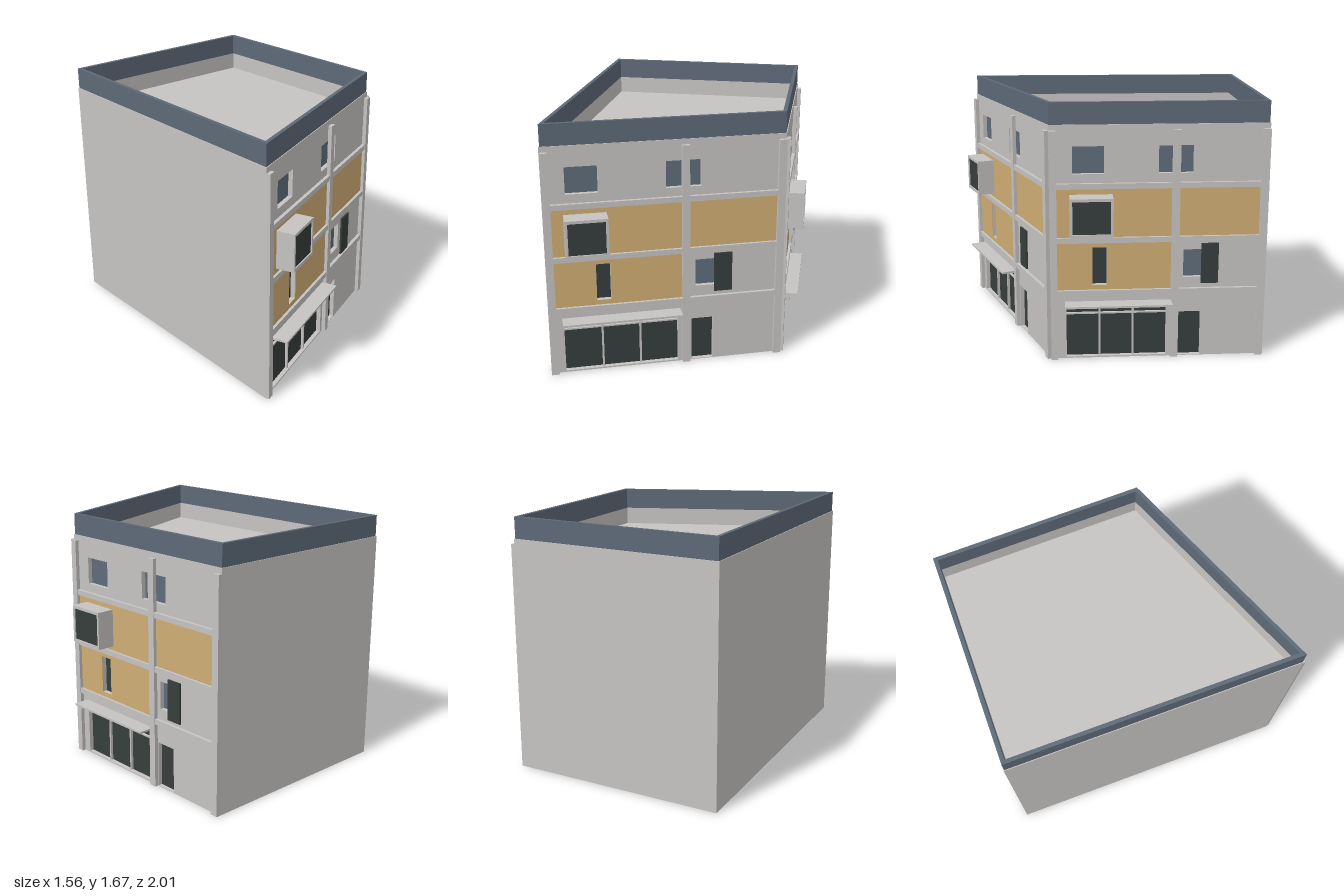
import * as THREE from 'three';

const T = 0.03;        // wall thickness
const TOP = 1.535;     // wall height
const PARAPET = 0.138;
const V = (x, z) => new THREE.Vector2(x, z);
// plan corners (x, z): front left, front right, back right, back left
const PLAN = [V(-0.78, 0.94), V(0.66, 0.41), V(0.66, -0.97), V(-0.745, -1.0)];

const mat = (name, color) => {
  const m = new THREE.MeshStandardMaterial({ color, side: THREE.DoubleSide });
  m.name = name;
  return m;
};

// plan outline moved inwards by d
function inset(d) {
  return PLAN.map((p, i) => {
    const a = p.clone().sub(PLAN[(i + 3) % 4]).normalize();
    const b = PLAN[(i + 1) % 4].clone().sub(p).normalize();
    const na = V(a.y, -a.x), nb = V(b.y, -b.x);
    const k = d / (1 + na.dot(nb));
    return p.clone().add(na.add(nb).multiplyScalar(k));
  });
}
const toShape = (pts) => new THREE.Shape(pts.map((p) => V(p.x, -p.y)));

const rectPoints = ([a, b, c, d]) => [V(a, c), V(b, c), V(b, d), V(a, d)];

// plate [x0, x1, y0, y1] with rectangular holes, from z0 to z1
function plate(rect, holes, z0, z1) {
  const s = new THREE.Shape(rectPoints(rect));
  holes.forEach((h) => s.holes.push(new THREE.Path(rectPoints(h).reverse())));
  const g = new THREE.ExtrudeGeometry(s, { depth: z1 - z0, bevelEnabled: false });
  return g.translate(0, 0, z0);
}

export function createModel() {
  const model = new THREE.Group();
  model.name = 'cornerBuilding';
  const grey = mat('concrete', 0xc6c4c2);
  const ochre = mat('ochrePanel', 0xd0ad74);
  const slate = mat('slateParapet', 0x5d6977);
  const blue = mat('blueGlass', 0x5f6c7a);
  const dark = mat('darkGlass', 0x363e3c);

  const add = (parent, name, geo, material) => {
    const m = new THREE.Mesh(geo, material);
    m.name = name;
    parent.add(m);
    return m;
  };
  const box = (parent, name, [a, b, c, d], z0, z1, material) => {
    const g = new THREE.BoxGeometry(b - a, d - c, z1 - z0);
    g.translate((a + b) / 2, (c + d) / 2, (z0 + z1) / 2);
    return add(parent, name, g, material);
  };

  // wall i in its own frame: x along the wall, z outwards, corners mitred
  const inner = inset(T);
  function wall(i, name, holes) {
    const p = PLAN[i], q = PLAN[(i + 1) % 4];
    const t = q.clone().sub(p), len = t.length();
    t.normalize();
    const group = new THREE.Group();
    group.name = name;
    group.position.set(p.x, 0, p.y);
    group.rotation.y = Math.atan2(-t.y, t.x);
    const g = plate([0, len, 0, TOP], holes, -T, 0);
    const x0 = inner[i].clone().sub(p).dot(t);
    const x1 = inner[(i + 1) % 4].clone().sub(p).dot(t);
    const pos = g.attributes.position;
    for (let k = 0; k < pos.count; k++) {
      if (pos.getZ(k) > -T / 2) continue;
      if (pos.getX(k) < 1e-4) pos.setX(k, x0);
      else if (pos.getX(k) > len - 1e-4) pos.setX(k, x1);
    }
    g.computeVertexNormals();
    add(group, name + 'Surface', g, grey);
    model.add(group);
    return group;
  }

  // street wall with pilasters, bands, panels, shopfront and windows
  function facade(i, name, f) {
    const shop = [...f.shop, 0.01, 0.37];
    const door = [...f.door, 0.004, 0.305];
    const slit = [...f.slit, 0.5, 0.75];
    const side = [...f.side, 0.54, 0.725];
    const tops = f.tops.map((w) => [...w, 1.225, 1.4]);
    const g = wall(i, name, [shop, door, slit, side, ...tops]);

    // recessed glass
    const glass = (label, r, m) => box(g, label, r, -T - 0.004, -T + 0.001, m);
    glass('shopGlass', shop, dark);
    glass('door', door, dark);
    glass('slitWindow', slit, dark);
    glass('sideWindow', side, blue);
    tops.forEach((r) => glass('topWindow', r, blue));

    // shopfront bars
    const [a, b] = f.shop;
    for (const k of [1, 2]) {
      const x = a + ((b - a) * k) / 3;
      box(g, 'shopMullion', [x - 0.006, x + 0.006, 0.01, 0.37], -T, -0.012, grey);
    }
    box(g, 'shopTransom', [a, b, 0.297, 0.307], -T, -0.014, grey);

    // pilasters and the floor bands between them
    f.pilasters.forEach((p) => box(g, 'pilaster', [...p, 0, 1.5], 0, 0.025, grey));
    for (let k = 0; k < 2; k++) {
      const span = [f.pilasters[k][1], f.pilasters[k + 1][0]];
      for (const y of [0.434, 0.783, 1.133]) {
        box(g, 'floorBand', [...span, y, y + 0.035], 0, 0.022, grey);
      }
      add(g, 'upperPanel', plate([...span, 0.818, 1.133], [], 0, 0.004), ochre);
      if (k === 0) add(g, 'lowerPanel', plate([...span, 0.469, 0.783], [slit], 0, 0.004), ochre);
    }

    // canopy, sliding shutter and box window
    box(g, 'canopy', [...f.canopy, 0.377, 0.39], 0, 0.105, grey);
    box(g, 'slidingShutter', [...f.shutter, 0.51, 0.775], 0.028, 0.04, dark);
    const [c, d] = f.bay;
    const pane = [c + 0.016, d - 0.016, 0.867, 1.077];
    add(g, 'boxWindowFrame', plate([c, d, 0.848, 1.096], [pane], 0, 0.122), grey);
    box(g, 'boxWindowGlass', pane, 0.108, 0.114, dark);
  }

  facade(0, 'frontWall', {
    shop: [0.096, 0.836], door: [0.925, 1.07], slit: [0.314, 0.405], side: [0.953, 1.1],
    tops: [[0.144, 0.346], [0.767, 0.991]], shutter: [1.069, 1.186],
    bay: [0.125, 0.391], canopy: [0.085, 0.851],
    pilasters: [[0, 0.05], [0.865, 0.914], [1.484, 1.534]],
  });
  facade(1, 'rightWall', {
    shop: [0.1, 0.745], door: [0.825, 0.97], slit: [0.27, 0.36], side: [0.85, 0.99],
    tops: [[0.145, 0.345], [0.685, 0.905]], shutter: [0.96, 1.07],
    bay: [0.125, 0.395], canopy: [0.09, 0.775],
    pilasters: [[0, 0.045], [0.77, 0.82], [1.33, 1.38]],
  });
  wall(2, 'backWall', []);
  wall(3, 'leftWall', []);

  // flat roof sunk between the walls
  const flat = (shape, depth, y) => new THREE.ExtrudeGeometry(shape, { depth, bevelEnabled: false })
    .rotateX(-Math.PI / 2).translate(0, y, 0);
  add(model, 'roof', flat(toShape(inset(T * 0.6)), 0.02, 1.4), grey);

  // parapet ring
  const ring = toShape(inset(0.005));
  ring.holes.push(new THREE.Path(inset(T).map((p) => V(p.x, -p.y))));
  add(model, 'parapet', flat(ring, PARAPET, TOP), slate);

  return model;
}
